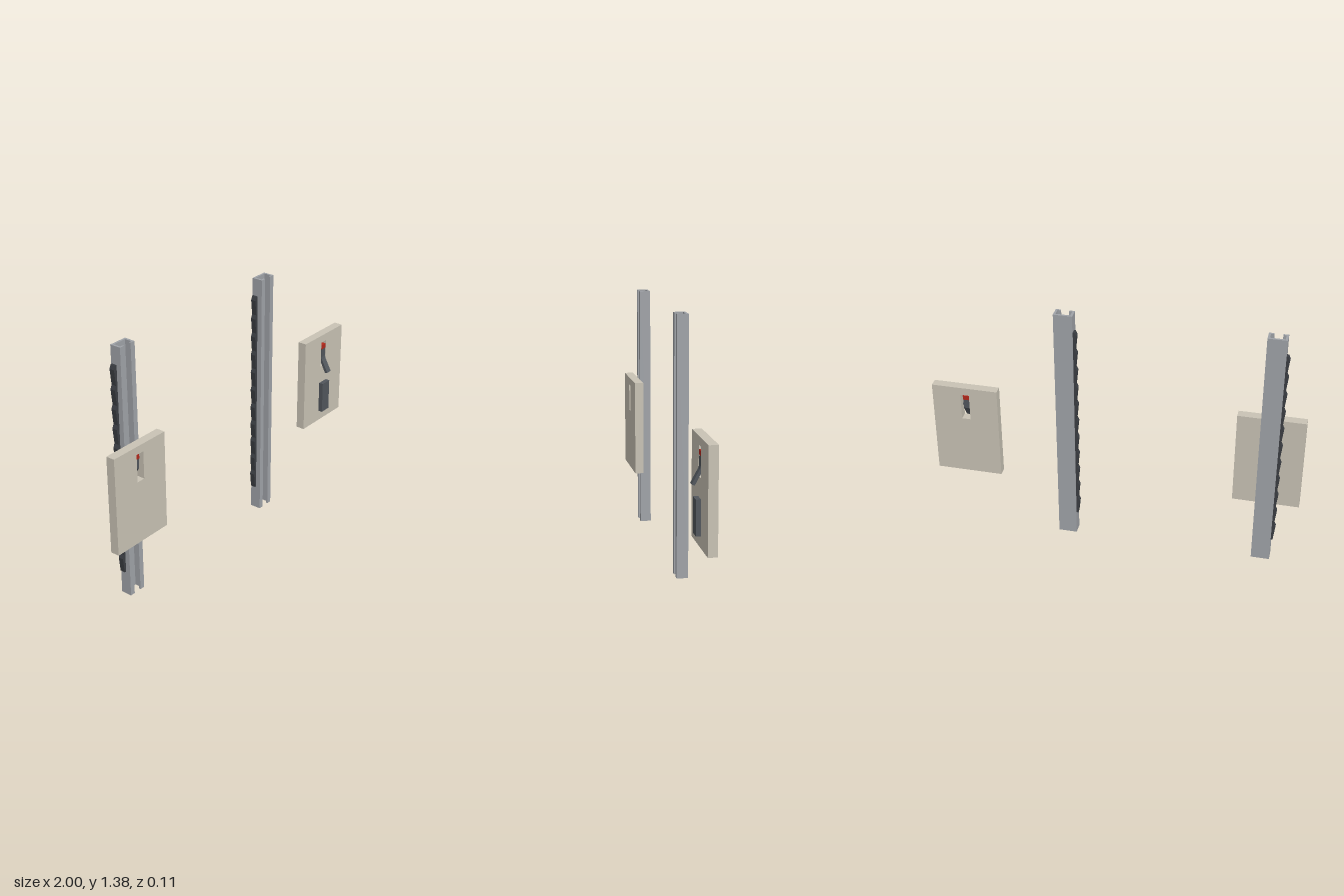
import * as THREE from 'three';

const mat = (name, color) => {
  const m = new THREE.MeshStandardMaterial({ color });
  m.name = name;
  return m;
};

const shapeOf = (pts) => new THREE.Shape(pts.map(([x, y]) => new THREE.Vector2(x, y)));

const extrude = (shape, depth) =>
  new THREE.ExtrudeGeometry(shape, { depth, bevelEnabled: false });

function add(group, name, geometry, material, x = 0, y = 0, z = 0) {
  const mesh = new THREE.Mesh(geometry, material);
  mesh.name = name;
  mesh.position.set(x, y, z);
  group.add(mesh);
  return mesh;
}

export function createModel() {
  const steel = mat('rail grey', 0xa0a3a8);
  const sand = mat('panel sand', 0xc9c3b5);
  const dark = mat('latch grey', 0x51565c);
  const black = mat('rack charcoal', 0x3b3e43);
  const red = mat('button red', 0xb5281c);

  // Lipped channel, open to the front, with a toothed rack through its side wall
  function rail(name, x) {
    const g = new THREE.Group();
    g.name = name;
    g.position.x = x;
    // section drawn in x and -z, then stood upright
    const section = shapeOf([
      [-0.05, -0.004], [-0.022, -0.004], [-0.022, 0.006], [-0.038, 0.006],
      [-0.038, 0.045], [0.038, 0.045], [0.038, 0.006], [0.022, 0.006],
      [0.022, -0.004], [0.05, -0.004], [0.05, 0.057], [-0.05, 0.057],
    ]);
    const channel = extrude(section, 1.38);
    channel.rotateX(-Math.PI / 2);
    add(g, 'channel', channel, steel);

    // sawtooth strip, teeth on both edges
    const teeth = 11, y0 = 0.135, pitch = 1.15 / teeth;
    const outer = [], inner = [];
    for (let i = 0; i < teeth; i++) {
      const y = y0 + i * pitch;
      inner.push([-0.034, y], [-0.025, y + pitch * 0.8], [-0.034, y + pitch]);
      outer.push([-0.06, y], [-0.069, y + pitch * 0.8], [-0.06, y + pitch]);
    }
    add(g, 'rack', extrude(shapeOf([...inner, ...outer.reverse()]), 0.028), black, 0, 0, -0.051);
    return g;
  }

  // Panel with a window, a pivoting latch in it and a guide block on its inner face
  function panel(name, x, z, turn) {
    const g = new THREE.Group();
    g.name = name;
    g.position.set(x, 0, z);
    g.rotation.y = turn;
    const board = shapeOf([[-0.18, 0.33], [0.18, 0.33], [0.18, 0.866], [-0.18, 0.866]]);
    board.holes.push(new THREE.Path([
      [-0.024, 0.672], [-0.024, 0.823], [0.024, 0.823], [0.024, 0.672],
    ].map(([a, b]) => new THREE.Vector2(a, b))));
    add(g, 'board', extrude(board, 0.049), sand, 0, 0, -0.052);

    // bent lever, profile drawn in z and y
    const lever = extrude(shapeOf([
      [-0.026, 0.78], [-0.026, 0.725], [0, 0.683], [0.025, 0.636],
      [0.04, 0.642], [0, 0.715], [-0.004, 0.73], [-0.004, 0.78],
    ]), 0.036);
    lever.translate(0, 0, -0.018);
    lever.rotateY(-Math.PI / 2);
    add(g, 'latchLever', lever, dark);
    add(g, 'latchButton', new THREE.BoxGeometry(0.038, 0.025, 0.026), red, 0, 0.791, -0.016);

    const pin = new THREE.CylinderGeometry(0.006, 0.006, 0.06, 12);
    pin.rotateZ(Math.PI / 2);
    add(g, 'pivotPin', pin, dark, 0, 0.745, -0.015);
    add(g, 'guideBlock', new THREE.BoxGeometry(0.066, 0.18, 0.025), dark, 0, 0.481, 0.0095);
    return g;
  }

  const model = new THREE.Group();
  model.name = 'railAndPanelSet';
  model.add(
    rail('rightRail', -0.82),
    rail('middleRail', 0.262),
    panel('mountedPanel', -0.82, 0.005, Math.PI),
    panel('loosePanel', 0.817, 0, 0),
  );
  return model;
}
